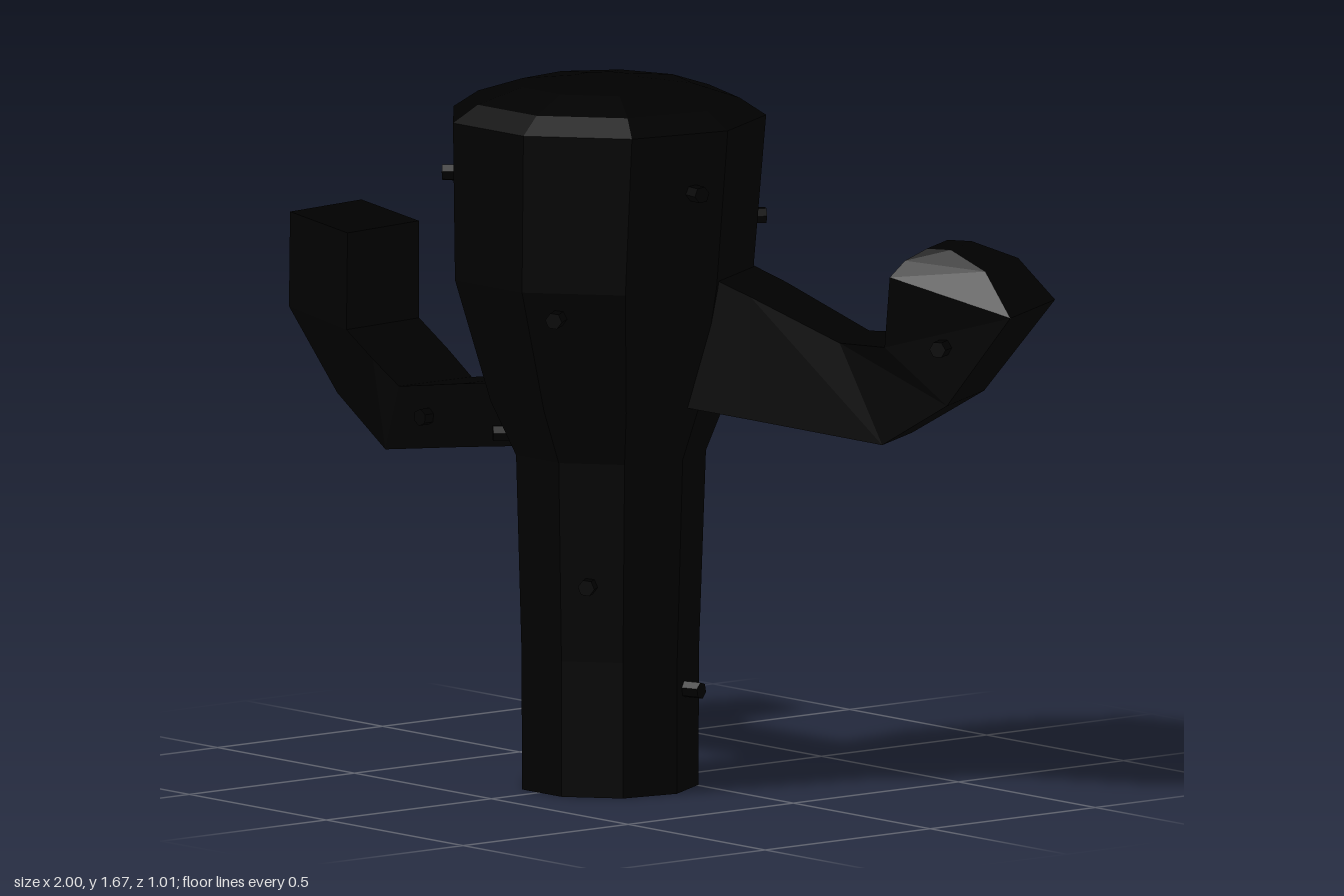
import * as THREE from 'three';

const material = new THREE.MeshStandardMaterial({ color: 0x000000, flatShading: true });

// Skin a stack of matching loops (counter-clockwise seen from the far end) and cap both ends.
function loft(name, loops) {
  const pos = [];
  const tri = (...pts) => pts.forEach(p => pos.push(p.x, p.y, p.z));
  const middle = loop => loop.reduce((s, p) => s.add(p), new THREE.Vector3()).divideScalar(loop.length);
  const n = loops[0].length;
  const last = loops[loops.length - 1];
  const start = middle(loops[0]), end = middle(last);
  for (let j = 0; j < n; j++) {
    const k = (j + 1) % n;
    for (let i = 0; i < loops.length - 1; i++) {
      const a = loops[i], b = loops[i + 1];
      tri(a[j], a[k], b[k]);
      tri(a[j], b[k], b[j]);
    }
    tri(start, loops[0][k], loops[0][j]);
    tri(end, last[j], last[k]);
  }
  const geometry = new THREE.BufferGeometry();
  geometry.setAttribute('position', new THREE.Float32BufferAttribute(pos, 3));
  geometry.computeVertexNormals();
  const mesh = new THREE.Mesh(geometry, material);
  mesh.name = name;
  return mesh;
}

// Nine-sided ring with one corner pointing to the back.
function ring([y, r, x, z]) {
  return Array.from({ length: 9 }, (_, i) => {
    const t = Math.PI + (i * Math.PI * 2) / 9;
    return new THREE.Vector3(x + r * Math.sin(t), y, z + r * Math.cos(t));
  });
}

// Four-cornered arm growing outward along local x, then turned about the trunk axis.
// Section: lower distance, lower y, upper distance, upper y, side from, side to, skew.
function arm(name, angle, sections) {
  const loops = sections.map(([ld, ly, ud, uy, s0, s1, skew = 0]) => [
    new THREE.Vector3(ld, ly, s0),
    new THREE.Vector3(ud, uy, s0),
    new THREE.Vector3(ud + skew, uy, s1),
    new THREE.Vector3(ld + skew, ly, s1),
  ]);
  const mesh = loft(name, loops);
  mesh.rotation.y = angle;
  mesh.position.z = 0.16;
  return mesh;
}

// Small stub centred on a point and pointing along a direction.
function spine([x, y, z, dx, dy, dz]) {
  const mesh = new THREE.Mesh(new THREE.CylinderGeometry(0.02, 0.02, 0.06, 6), material);
  mesh.name = 'spine';
  mesh.position.set(x, y, z);
  mesh.quaternion.setFromUnitVectors(new THREE.Vector3(0, 1, 0), new THREE.Vector3(dx, dy, dz).normalize());
  return mesh;
}

export function createModel() {
  const group = new THREE.Group();
  group.name = 'cactus';

  // Trunk: height, radius, centre x, centre z
  group.add(loft('trunk', [
    [0, 0.212, 0.01, 0.156],
    [0.32, 0.213, 0.01, 0.156],
    [0.79, 0.228, 0.012, 0.156],
    [0.92, 0.285, 0.008, 0.16],
    [1.21, 0.358, 0, 0.172],
    [1.58, 0.376, 0, 0.156],
    [1.62, 0.315, 0, 0.156],
    [1.655, 0.205, 0, 0.156],
    [1.67, 0.075, 0, 0.156],
  ].map(ring)));

  // Thick arm on the left, ending in a rounded knob
  group.add(arm('leftArm', Math.PI / 6, [
    [0.1, 0.94, 0.1, 1.32, -0.13, 0.13],
    [0.41, 0.9, 0.41, 1.19, -0.12, 0.12],
    [0.73, 0.855, 0.624, 1.09, -0.1, 0.1],
    [0.9, 0.96, 0.745, 1.09, -0.125, 0.125],
    [1.067, 1.18, 0.767, 1.26, -0.15, 0.15],
    [0.99, 1.28, 0.79, 1.295, -0.11, 0.11],
    [0.89, 1.32, 0.83, 1.32, -0.07, 0.07],
  ]));

  // Slim arm on the right, cut off flat
  group.add(arm('rightArm', Math.PI, [
    [0.1, 0.80, 0.1, 0.95, -0.13, 0.08],
    [0.36, 0.765, 0.36, 0.915, -0.125, 0.08],
    [0.67, 0.72, 0.62, 0.875, -0.105, 0.115],
    [0.81, 0.84, 0.68, 0.935, -0.135, 0.1, 0.01],
    [0.95, 1.03, 0.74, 1.0, -0.165, 0.08, 0.03],
    [0.94, 1.255, 0.73, 1.23, -0.17, 0.075, 0.035],
  ]));

  // Spines: centre, then direction
  [
    [-0.24, 1.44, 0.41, -0.7, 0, 0.7],
    [0.36, 1.44, 0.18, 1, 0, 0.15],
    [0.19, 1.15, 0.46, 0.6, 0, 0.8],
    [0.16, 1.33, -0.16, 0.5, 0, -0.9],
    [0.14, 0.5, 0.32, 0.6, 0, 0.8],
    [0.21, 0.24, 0.07, 1, 0, -0.3],
    [-0.19, 0.42, 0.17, -1, 0, 0.1],
    [-0.06, 0.4, -0.03, -0.4, 0, -0.9],
    [-0.14, 0.83, 0.34, -0.6, 0, 0.8],
    [0.42, 1.06, -0.21, 0.5, 0, -0.87],
    [0.85, 1.1, -0.16, 0.5, 0, 0.87],
    [-0.97, 1.17, 0.215, -1, 0, 0.15],
    [-0.865, 1.1, 0.07, 0.1, 0, -1],
    [-0.5, 0.82, 0.275, 0.1, 0, 1],
  ].forEach(s => group.add(spine(s)));

  return group;
}
